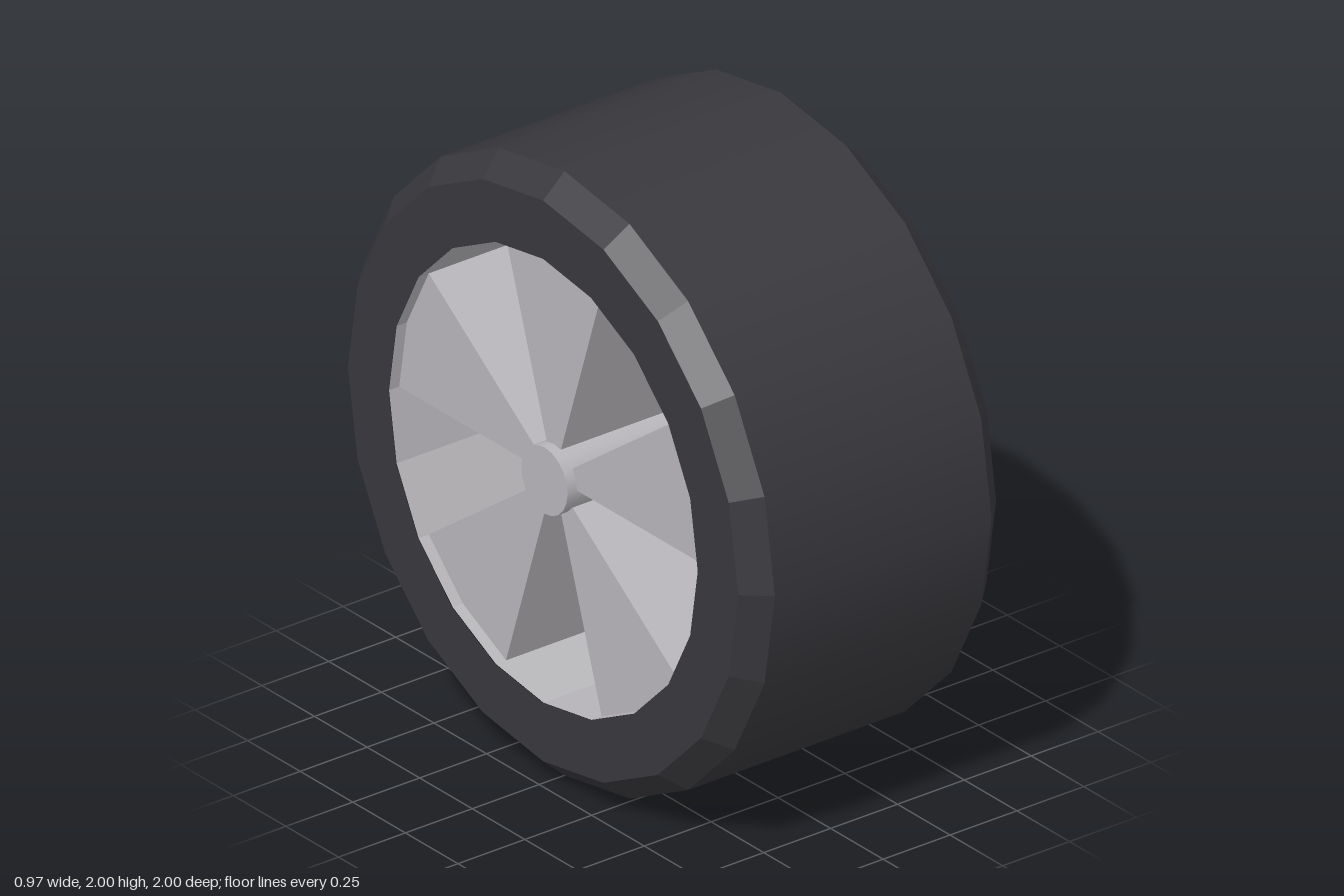
import * as THREE from 'three';

const SIDES = 20;
const HALF_WIDTH = 0.485;
const TREAD_HALF = 0.405;
const RIM_RADIUS = 0.735;

export function createModel() {
  const rubber = new THREE.MeshStandardMaterial({ color: 0x38383d });
  rubber.name = 'darkRubber';
  const metal = new THREE.MeshStandardMaterial({ color: 0xb8b6ba, side: THREE.DoubleSide });
  metal.name = 'greyMetal';

  const model = new THREE.Group();
  model.name = 'wheel';
  const add = (name, geometry, material) => {
    const mesh = new THREE.Mesh(geometry, material);
    mesh.name = name;
    mesh.position.y = 1;
    model.add(mesh);
    return mesh;
  };

  // A drum along the x axis, with radius rPlus at its +x end and rMinus at its -x end
  const drum = (rPlus, rMinus, xMin, xMax, open = true) =>
    new THREE.CylinderGeometry(rPlus, rMinus, xMax - xMin, SIDES, 1, open)
      .rotateZ(-Math.PI / 2)
      .translate((xMin + xMax) / 2, 0, 0);
  const faceted = (geometry) => {
    const flat = geometry.toNonIndexed();
    flat.computeVertexNormals();
    return flat;
  };

  // Tyre: smooth tread, bevelled shoulders and flat side walls
  add('tread', drum(1, 1, -TREAD_HALF, TREAD_HALF), rubber);
  add('leftShoulder', drum(0.92, 1, TREAD_HALF, HALF_WIDTH), rubber);
  add('rightShoulder', faceted(drum(1, 0.928, -HALF_WIDTH, -TREAD_HALF)), rubber);
  for (const side of [1, -1]) {
    const wall = new THREE.RingGeometry(RIM_RADIUS, side > 0 ? 0.92 : 0.928, SIDES)
      .rotateY(side * Math.PI / 2)
      .translate(side * HALF_WIDTH, 0, 0);
    add(side > 0 ? 'leftSideWall' : 'rightSideWall', wall, rubber);
  }

  // Open rim lining the tyre
  add('rim', faceted(drum(RIM_RADIUS, RIM_RADIUS, -0.483, 0.483)), metal);

  // Five full-depth wedge spokes, each covering two rim facets
  const step = (2 * Math.PI) / SIDES;
  const depth = 0.89;
  for (let i = 0; i < 5; i++) {
    const shape = new THREE.Shape();
    shape.moveTo(0, 0);
    for (let k = 0; k <= 2; k++) {
      const a = (i * 4 + k) * step;
      shape.lineTo(RIM_RADIUS * Math.cos(a), RIM_RADIUS * Math.sin(a));
    }
    shape.closePath();
    const spoke = new THREE.ExtrudeGeometry(shape, { depth, bevelEnabled: false })
      .translate(0, 0, -depth / 2)
      .rotateY(Math.PI / 2);
    add('spoke' + (i + 1), spoke, metal);
  }

  // Hub running through the wheel, just proud of the spokes
  add('hub', drum(0.11, 0.11, -0.48, 0.48, false), metal);

  return model;
}
